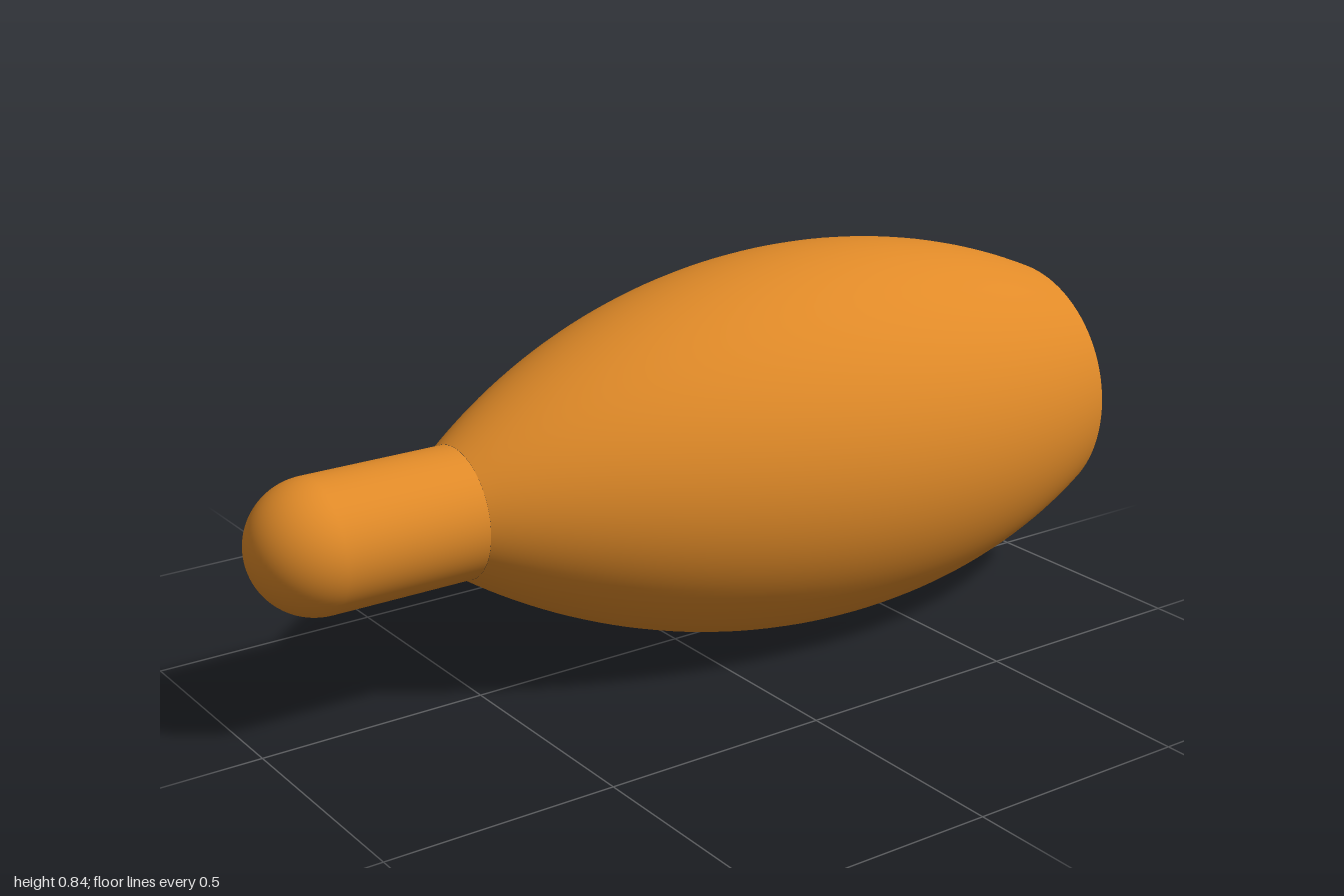
import * as THREE from 'three';

const SEGMENTS = 96;
const AXIS_Y = 0.42;
const NECK_R = 0.14;
const NECK_END = -0.545;

// Points along a circular arc; each is (radius, distance along the axis)
function arc(radius, centreR, centreX, from, to, steps) {
  return Array.from({ length: steps + 1 }, (_, i) => {
    const a = from + ((to - from) * i) / steps;
    return new THREE.Vector2(Math.max(0, centreR + radius * Math.cos(a)), centreX + radius * Math.sin(a));
  });
}

export function createModel() {
  const group = new THREE.Group();
  const material = new THREE.MeshStandardMaterial({ color: 0xe08a28 });

  const add = (name, geometry) => {
    const mesh = new THREE.Mesh(geometry, material);
    mesh.name = name;
    group.add(mesh);
    return mesh;
  };

  // Turns a profile around the x axis
  const turn = (name, points) =>
    add(name, new THREE.LatheGeometry(points, SEGMENTS).rotateZ(-Math.PI / 2));

  // Neck: straight rod with a hemispherical tip
  const neck = arc(NECK_R, 0, -1 + NECK_R, -Math.PI / 2, 0, 20);
  neck.push(new THREE.Vector2(NECK_R, NECK_END));
  turn('neck', neck);

  // Body: barrel swelling along one large arc, widest at x = 0.357
  const R = 1.595;
  const peak = 0.357;
  const body = arc(R, AXIS_Y - R, peak, Math.asin((NECK_END - peak) / R), Math.asin((1 - peak) / R), 48);
  turn('body', body);

  // Flat end of the body
  const cap = add('endCap', new THREE.CircleGeometry(body[body.length - 1].x, SEGMENTS).rotateY(Math.PI / 2));
  cap.position.x = 1;

  group.position.y = AXIS_Y;
  const model = new THREE.Group();
  model.name = 'bulbousHandle';
  model.add(group);
  return model;
}
